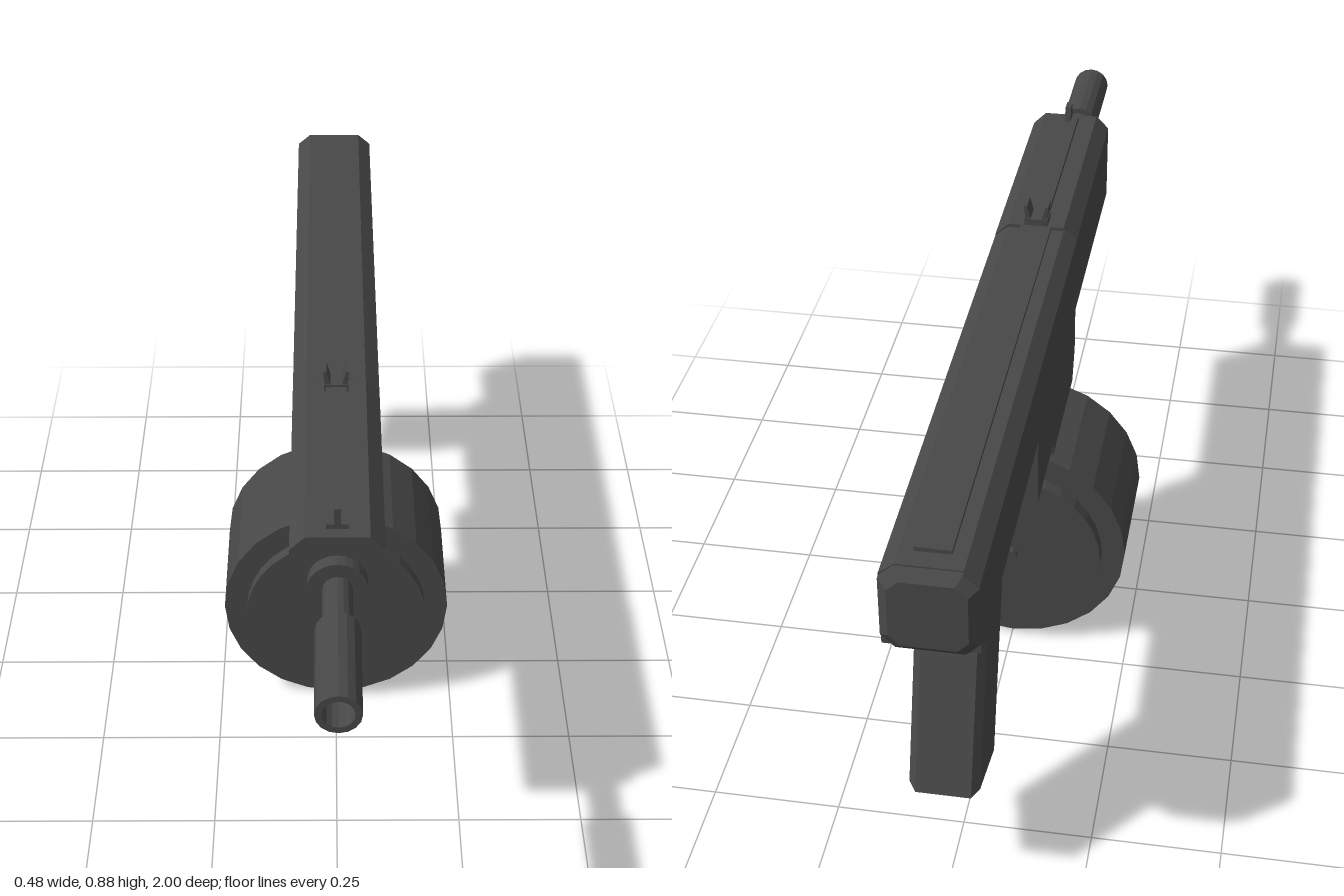
import * as THREE from 'three';
import { ConvexGeometry } from 'three/addons/geometries/ConvexGeometry.js';

const dark = new THREE.MeshStandardMaterial({ color: 0x484848, flatShading: true });
const grey = new THREE.MeshStandardMaterial({ color: 0xcccccc });

export function createModel() {
  const model = new THREE.Group();

  const add = (name, geometry, material = dark) => {
    const mesh = new THREE.Mesh(geometry, material);
    mesh.name = name;
    model.add(mesh);
    return mesh;
  };
  const shapeOf = pts => new THREE.Shape(pts.map(p => new THREE.Vector2(...p)));
  // box given by half width, y range and z range
  const box = (name, hw, y0, y1, z0, z1, x = 0) =>
    add(name, new THREE.BoxGeometry(2 * hw, y1 - y0, z1 - z0).translate(x, (y0 + y1) / 2, (z0 + z1) / 2));
  // cylinder lying along z
  const rod = (name, r, y, z0, z1, sides = 24) =>
    add(name, new THREE.CylinderGeometry(r, r, z1 - z0, sides).rotateX(Math.PI / 2).translate(0, y, (z0 + z1) / 2));
  // x-y section swept along z
  const sweep = (name, pts, z0, z1) =>
    add(name, new THREE.ExtrudeGeometry(shapeOf(pts), { depth: z1 - z0, bevelEnabled: false }).translate(0, 0, z0));
  // z-y outline given thickness in x
  const plate = (name, pts, hw, bevel = 0) => {
    const g = new THREE.ExtrudeGeometry(shapeOf(pts), {
      depth: 2 * (hw - bevel), bevelEnabled: bevel > 0, bevelSize: bevel,
      bevelThickness: bevel, bevelOffset: -bevel, bevelSegments: 1
    });
    return add(name, g.translate(0, 0, bevel - hw).rotateY(-Math.PI / 2));
  };
  // convex solid from points mirrored in x
  const hull = (name, pts) => add(name, new ConvexGeometry(
    pts.flatMap(([x, y, z]) => [new THREE.Vector3(x, y, z), new THREE.Vector3(-x, y, z)])));
  const mirrored = half => [...half, ...half.slice().reverse().map(([x, y]) => [-x, y])];

  // receiver with chamfered top and bevelled octagonal end cap
  sweep('receiver', mirrored([[0.085, 0.655], [0.085, 0.805], [0.058, 0.828]]), -0.978, 0.13);
  const capRing = (s, z) => [[0.06, 0.655], [0.085, 0.68], [0.085, 0.8], [0.058, 0.825]]
    .map(([x, y]) => [x * s, 0.742 + (y - 0.742) * s, z]);
  hull('rearCap', [...capRing(1, -0.978), ...capRing(1, -0.985), ...capRing(0.8, -1)]);
  box('topStrip', 0.032, 0.82, 0.836, -0.94, 0.13);

  // handguard with upper and lower rails
  sweep('handguard', mirrored([[0.043, 0.607], [0.085, 0.64], [0.085, 0.808], [0.058, 0.835]]), 0.13, 0.645);
  box('upperRail', 0.02, 0.83, 0.845, 0.13, 0.62);
  box('lowerRailStem', 0.03, 0.595, 0.61, 0.24, 0.64);
  box('lowerRail', 0.042, 0.593, 0.602, 0.24, 0.64);

  // magazine well with tapered front corners and wedge
  hull('magazineWell', [
    [0.085, 0.66, 0.13], [0.085, 0.545, 0.13], [0.07, 0.48, 0.13], [0.085, 0.48, 0.1],
    [0.085, 0.66, -0.18], [0.085, 0.48, -0.175]
  ]);
  hull('frontWedge', [
    [0.085, 0.64, 0.13], [0.042, 0.545, 0.13], [0.042, 0.605, 0.245], [0.042, 0.64, 0.13]
  ]);
  box('lowerReceiver', 0.085, 0.51, 0.66, -0.375, -0.175);

  // drum magazine
  box('magazineNeck', 0.076, 0.4, 0.485, -0.175, 0.097);
  rod('drum', 0.238, 0.24, -0.175, 0.097);
  rod('drumCover', 0.19, 0.238, -0.204, 0.124, 32);
  rod('drumPin', 0.016, 0.238, -0.22, 0.143, 12);

  // barrel, collar and hollow muzzle
  rod('barrelCollar', 0.054, 0.742, 0.64, 0.672);
  rod('barrel', 0.027, 0.742, 0.66, 0.79, 16);
  const ring = [[0.028, 0.785], [0.04, 0.785], [0.04, 1], [0.028, 1], [0.028, 0.785]];
  add('muzzle', new THREE.LatheGeometry(ring.map(p => new THREE.Vector2(...p)), 16)
    .rotateX(Math.PI / 2).translate(0, 0.742, 0));
  add('bore', new THREE.CircleGeometry(0.028, 16).translate(0, 0.742, 0.795), grey);

  // sights
  plate('frontSight', [[0.62, 0.84], [0.62, 0.878], [0.595, 0.878], [0.588, 0.84]], 0.006);
  box('rearSightBase', 0.024, 0.83, 0.85, 0.13, 0.175);
  for (const s of [-1, 1]) {
    sweep('rearSightProng', [[0.01, 0.845], [0.022, 0.845], [0.025, 0.878], [0.019, 0.878]]
      .map(([x, y]) => [x * s, y]), 0.132, 0.173);
  }

  // trigger, guard and grip
  plate('trigger', [[-0.475, 0.66], [-0.515, 0.63], [-0.528, 0.595], [-0.52, 0.56],
    [-0.555, 0.598], [-0.55, 0.625], [-0.535, 0.66]], 0.012);
  box('triggerGuard', 0.045, 0.509, 0.522, -0.69, -0.355);
  box('guardPin', 0.045, 0.483, 0.515, -0.375, -0.355);
  plate('grip', [[-0.62, 0.665], [-0.76, 0.21], [-0.928, 0.258], [-0.838, 0.545], [-0.875, 0.665]], 0.065, 0.014);

  return model;
}
